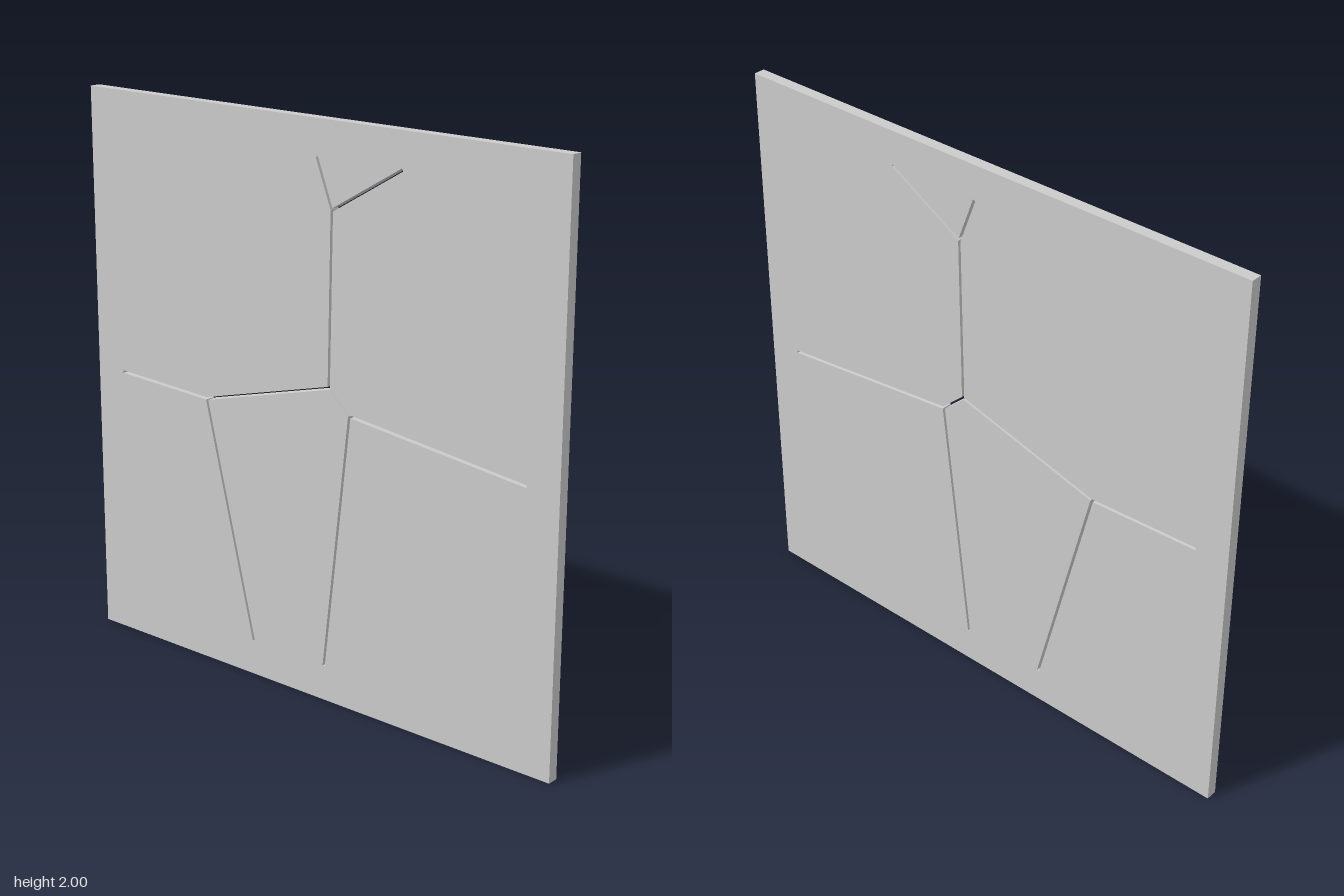
import * as THREE from 'three';

const THICKNESS = 0.04;
const SLIT = 0.01;

// Branching slit: joints as [-z, y] on the panel, and the links between them
const joints = {
  topLeft: [-0.38, 1.877], topRight: [-0.033, 1.877], fork: [-0.096, 1.712],
  centre: [-0.085, 1.12], elbow: [-0.173, 1.042], farLeft: [-0.877, 0.964],
  bottomLeft: [-0.065, 0.125], knee: [0.467, 0.974], farRight: [0.877, 0.992],
  bottomRight: [0.257, 0.125],
};
const links = [
  ['topLeft', 'fork'], ['topRight', 'fork'], ['fork', 'centre'], ['centre', 'elbow'],
  ['elbow', 'farLeft'], ['elbow', 'bottomLeft'], ['centre', 'knee'],
  ['knee', 'farRight'], ['knee', 'bottomRight'],
];

// Walk once round the branching line, offsetting it by half the slit width
function slitOutline() {
  const point = {}, near = {};
  for (const name in joints) {
    point[name] = new THREE.Vector2(...joints[name]);
    near[name] = [];
  }
  for (const [a, b] of links) {
    near[a].push(b);
    near[b].push(a);
  }
  const toward = (a, b) => point[b].clone().sub(point[a]).normalize();
  for (const name in near) {
    near[name].sort((a, b) => toward(name, a).angle() - toward(name, b).angle());
  }
  const outline = [];
  let from = 'topLeft', at = 'fork';
  for (let i = 0; i < links.length * 2; i++) {
    const around = near[at];
    const next = around[(around.indexOf(from) + 1) % around.length];
    const a = toward(at, from), b = toward(at, next);
    const na = new THREE.Vector2(-a.y, a.x), nb = new THREE.Vector2(b.y, -b.x);
    if (next === from) {
      // square end
      outline.push(point[at].clone().addScaledVector(na, SLIT / 2));
      outline.push(point[at].clone().addScaledVector(nb, SLIT / 2));
    } else {
      // mitred corner
      const reach = SLIT / 2 / (1 + na.dot(nb));
      outline.push(point[at].clone().addScaledVector(na.add(nb), reach));
    }
    from = at;
    at = next;
  }
  return outline;
}

export function createModel() {
  const group = new THREE.Group();
  group.name = 'slitPanel';

  // Square panel cut right through by the slit
  const square = new THREE.Shape([
    new THREE.Vector2(-1, 0), new THREE.Vector2(1, 0),
    new THREE.Vector2(1, 2), new THREE.Vector2(-1, 2),
  ]);
  square.holes.push(new THREE.Path(slitOutline()));
  const geometry = new THREE.ExtrudeGeometry(square, { depth: THICKNESS, bevelEnabled: false });
  geometry.translate(0, 0, -THICKNESS / 2);
  geometry.rotateY(Math.PI / 2);

  const panel = new THREE.Mesh(geometry, new THREE.MeshStandardMaterial({ color: 0xcccccc }));
  panel.name = 'panel';
  group.add(panel);
  return group;
}
